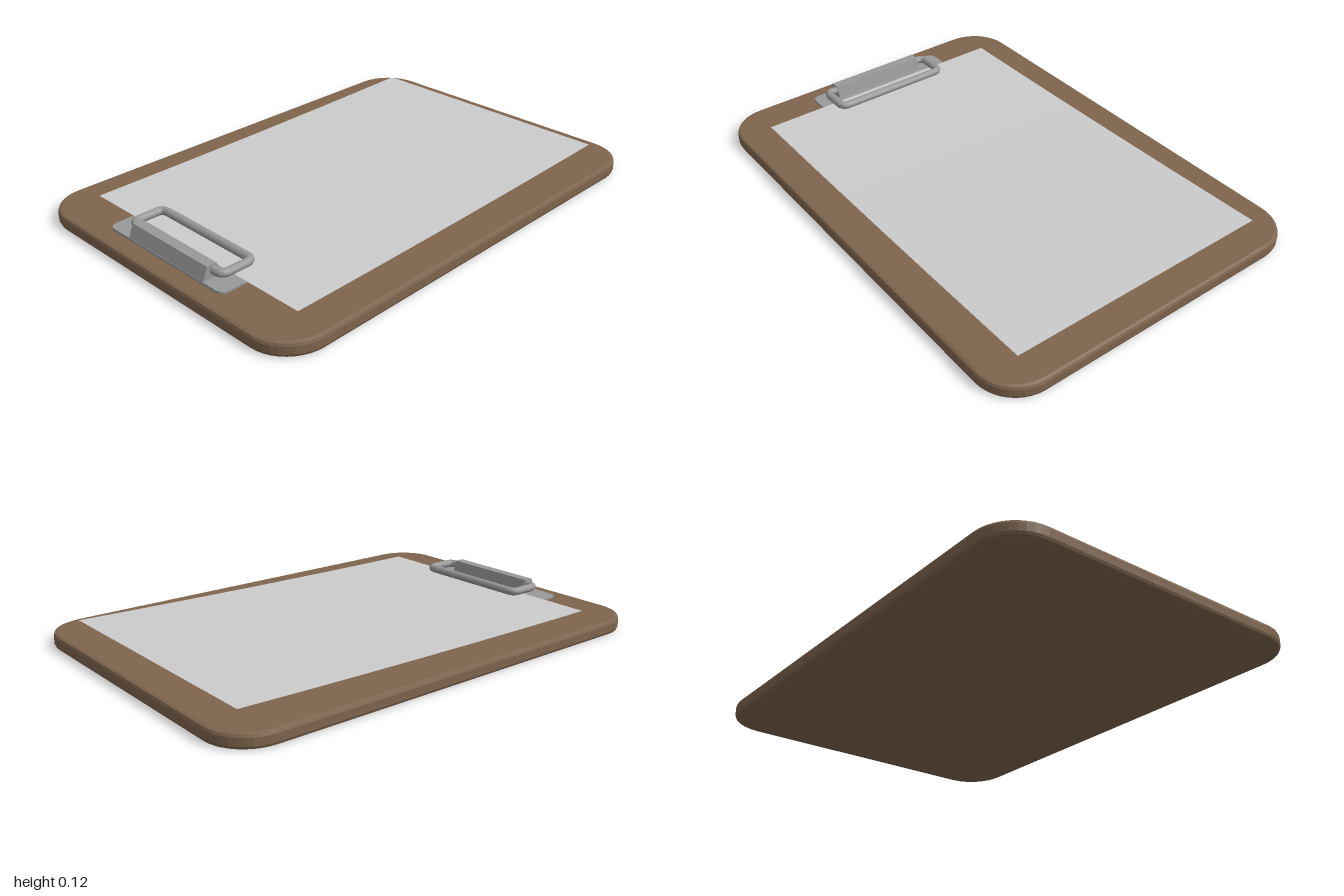
import * as THREE from 'three';

const material = (color) => new THREE.MeshStandardMaterial({ color, side: THREE.DoubleSide });

// Rounded rectangle in plan, centred on the origin
function roundedRect(w, d, r) {
  const s = new THREE.Shape();
  const x = w / 2, y = d / 2;
  s.moveTo(x, -y + r);
  s.absarc(x - r, y - r, r, 0, Math.PI / 2);
  s.absarc(-x + r, y - r, r, Math.PI / 2, Math.PI);
  s.absarc(-x + r, -y + r, r, Math.PI, Math.PI * 1.5);
  s.absarc(x - r, -y + r, r, Math.PI * 1.5, Math.PI * 2);
  return s;
}

// Horizontal slab with bevelled rims, its underside at y = 0
function slab(w, d, h, r, bevel, curveSegments) {
  const geo = new THREE.ExtrudeGeometry(roundedRect(w - 2 * bevel, d - 2 * bevel, r - bevel), {
    depth: h - 2 * bevel, bevelThickness: bevel, bevelSize: bevel, bevelSegments: 2, curveSegments,
  });
  geo.rotateX(-Math.PI / 2);
  geo.translate(0, bevel, 0);
  return geo;
}

export function createModel() {
  const model = new THREE.Group();
  const wood = material(0x7e654e), paperGrey = material(0xcccccc), metal = material(0x999999);
  const add = (name, geo, mat, parent = model) => {
    const mesh = new THREE.Mesh(geo, mat);
    mesh.name = name;
    parent.add(mesh);
    return mesh;
  };

  // Wooden backing board
  add('board', slab(2, 1.41, 0.058, 0.17, 0.014, 5), wood);

  // Paper sheet, curling up gently towards its free end
  const sheet = new THREE.PlaneGeometry(1.71, 1.14, 16, 1);
  sheet.rotateX(-Math.PI / 2);
  const p = sheet.attributes.position;
  for (let i = 0; i < p.count; i++) {
    const t = p.getX(i) / 1.71 + 0.5;
    p.setY(i, 0.073 + 0.022 * t * t);
  }
  sheet.computeVertexNormals();
  add('paper', sheet, paperGrey).position.x = 0.035;

  const clip = new THREE.Group();
  clip.name = 'clip';
  model.add(clip);

  // Mounting plate
  add('clipPlate', slab(0.24, 0.655, 0.012, 0.03, 0.002, 3), metal, clip).position.set(-0.805, 0.057, -0.02);

  // Tapered spring housing
  const profile = new THREE.Shape([
    [-0.925, 0.065], [-0.845, 0.065], [-0.86, 0.12], [-0.902, 0.12],
  ].map(([x, y]) => new THREE.Vector2(x, y)));
  const housing = new THREE.ExtrudeGeometry(profile, { depth: 0.43, bevelEnabled: false });
  housing.translate(0, 0, -0.22);
  add('springHousing', housing, metal, clip);

  // Wire lever loop with rounded corners
  const loop = new THREE.CurvePath();
  const v = (x, z) => new THREE.Vector3(x, 0.098, z);
  const x0 = -0.875, x1 = -0.738, z0 = -0.262, z1 = 0.255, r = 0.03;
  const corners = [[x0, z0], [x1, z0], [x1, z1], [x0, z1]].map(([x, z]) => v(x, z));
  corners.forEach((c, i) => {
    const next = corners[(i + 1) % 4], after = corners[(i + 2) % 4];
    const toward = (a, b) => a.clone().add(b.clone().sub(a).setLength(r));
    loop.add(new THREE.LineCurve3(toward(c, next), toward(next, c)));
    loop.add(new THREE.QuadraticBezierCurve3(toward(next, c), next, toward(next, after)));
  });
  add('leverLoop', new THREE.TubeGeometry(loop, 160, 0.017, 10, true), metal, clip);

  return model;
}
